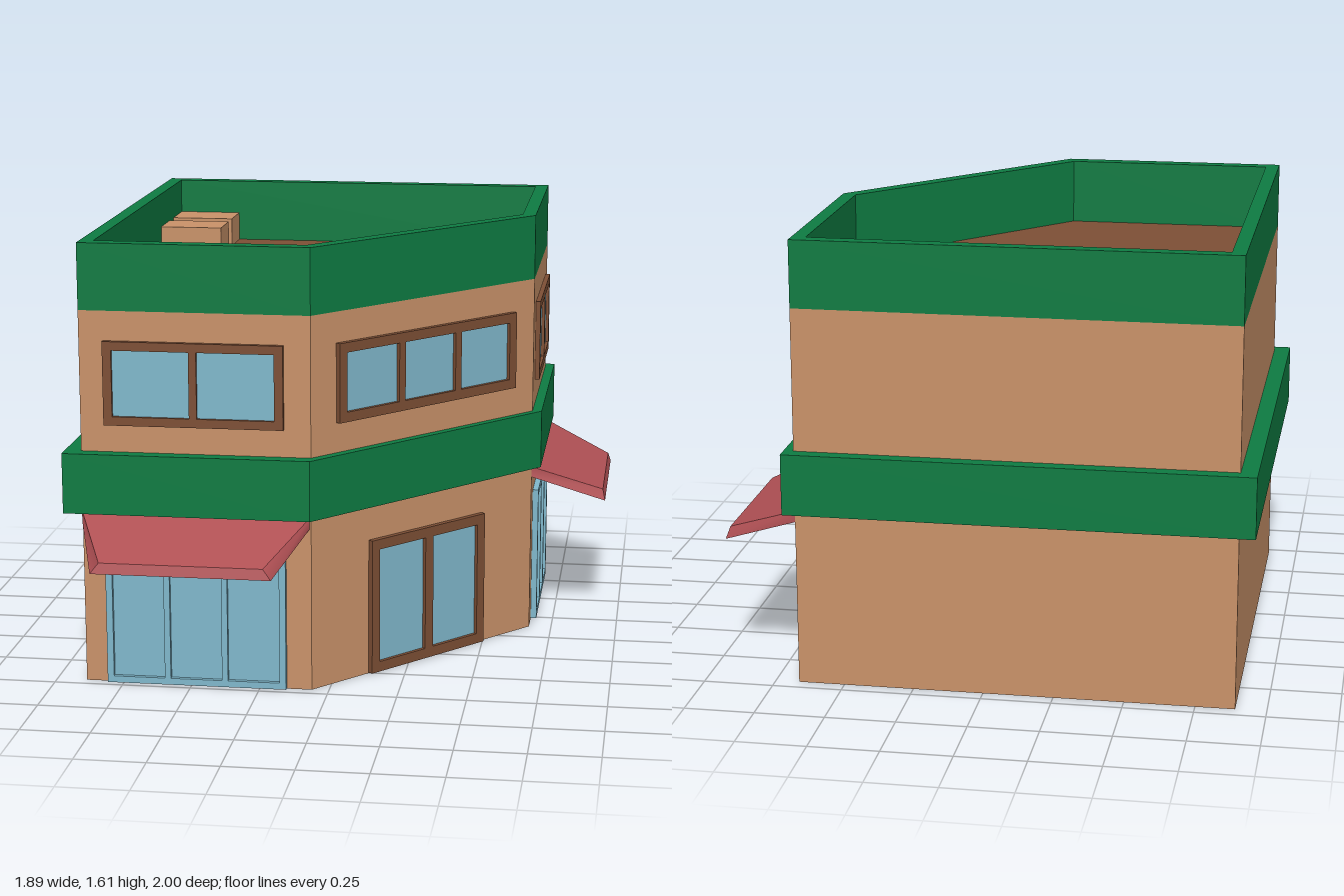
import * as THREE from 'three';

const mat = (name, color) => {
  const m = new THREE.MeshStandardMaterial({ color });
  m.name = name;
  return m;
};

export function createModel() {
  const root = new THREE.Group();
  root.name = 'cornerShop';
  const wall = mat('wall tan', 0xc99269);
  const brown = mat('roof and frame brown', 0x7d4f35);
  const green = mat('trim green', 0x0e7b42);
  const glass = mat('glass blue', 0x80b8cc);
  const red = mat('awning red', 0xb05054);

  const add = (parent, name, geo, material) => {
    const m = new THREE.Mesh(geo, material);
    m.name = name;
    parent.add(m);
    return m;
  };

  // Five-sided plans as [x, z], with the front right corner cut off
  const plan = (x0, x1, z0, z1, cutX, cutZ) =>
    [[x0, z1], [cutX, z1], [x1, cutZ], [x1, z0], [x0, z0]].map(([x, z]) => new THREE.Vector2(x, -z));
  const body = plan(-0.89, 0.665, -0.95, 0.71, -0.062, -0.13);
  const bandPlan = plan(-0.95, 0.70, -1, 0.76, -0.06, -0.13);
  const inner = plan(-0.84, 0.615, -0.90, 0.655, -0.083, -0.15);

  const slab = (name, outline, hole, y0, y1, material) => {
    const s = new THREE.Shape(outline);
    if (hole) s.holes.push(new THREE.Path(hole));
    const g = new THREE.ExtrudeGeometry(s, { depth: y1 - y0, bevelEnabled: false });
    g.rotateX(-Math.PI / 2).translate(0, y0, 0);
    return add(root, name, g, material);
  };
  slab('walls', body, null, 0, 1.37, [brown, wall]); // caps are the roof and floor
  slab('floorBand', bandPlan, body, 0.64, 0.86, green);
  slab('parapet', body, inner, 1.37, 1.61, green);

  // Rooftop units
  for (const z of [-0.815, -0.575]) {
    add(root, 'roofUnit', new THREE.BoxGeometry(0.24, 0.11, 0.17), wall).position.set(-0.72, 1.425, z);
  }

  // Framed glazing, facing local +z with its back on z = 0
  const rect = (C, x0, y0, x1, y1) =>
    new C([[x0, y0], [x1, y0], [x1, y1], [x0, y1]].map(p => new THREE.Vector2(...p)));
  const glazing = (name, { w, y0, y1, panes, border, bar, depth, frame }) => {
    const g = new THREE.Group();
    g.name = name;
    const shape = rect(THREE.Shape, -w / 2, y0, w / 2, y1);
    const low = y0 + border, high = y1 - border;
    const pw = (w - 2 * border - (panes - 1) * bar) / panes;
    for (let i = 0; i < panes; i++) {
      const x = -w / 2 + border + i * (pw + bar);
      shape.holes.push(rect(THREE.Path, x, low, x + pw, high));
      add(g, 'pane', new THREE.BoxGeometry(pw, high - low, 0.005), glass)
        .position.set(x + pw / 2, (low + high) / 2, 0.0035);
    }
    add(g, 'frame', new THREE.ExtrudeGeometry(shape, { depth, bevelEnabled: false }), frame);
    root.add(g);
    return g;
  };

  // Sloped awning: a box with its outer edge lowered and narrowed
  const awning = (name, width, reach) => {
    const geo = new THREE.BoxGeometry(1, 1, 1);
    const p = geo.attributes.position;
    for (let i = 0; i < p.count; i++) {
      const top = p.getY(i) > 0, out = p.getZ(i) > 0;
      const half = out ? (top ? 0.29 : 0.32) : width / 2;
      p.setXYZ(i, Math.sign(p.getX(i)) * half,
        out ? (top ? 0.53 : 0.492) : (top ? 0.64 : 0.60),
        out ? (top ? reach - 0.01 : reach) : 0);
    }
    geo.computeVertexNormals();
    return add(root, name, geo, red);
  };

  const place = (o, x, z, turn) => {
    o.position.set(x, 0, z);
    o.rotation.y = turn;
  };

  // Front and right walls share the same fittings
  const sides = [
    { n: 'front', x: -0.48, z: 0.71, turn: 0, w: 0.645, aw: 0.825, reach: 0.29 },
    { n: 'side', x: 0.665, z: -0.54, turn: Math.PI / 2, w: 0.61, aw: 0.82, reach: 0.28 },
  ];
  for (const s of sides) {
    const upper = glazing(s.n + 'UpperWindow', {
      w: s.w, y0: 0.96, y1: 1.263, panes: 2, border: 0.032, bar: 0.028, depth: 0.018, frame: brown });
    const shop = glazing(s.n + 'ShopWindow', {
      w: s.w + 0.01, y0: 0.003, y1: 0.523, panes: 3, border: 0.024, bar: 0.022, depth: 0.022, frame: glass });
    for (const o of [upper, shop]) place(o, s.x, s.z, s.turn);
    place(awning(s.n + 'Awning', s.aw, s.reach), s.x, s.z, s.turn);
  }

  // Diagonal corner wall
  const turn = Math.atan2(0.84, 0.727);
  place(glazing('cornerUpperWindow', {
    w: 0.88, y0: 0.97, y1: 1.258, panes: 3, border: 0.036, bar: 0.03, depth: 0.02, frame: brown }), 0.304, 0.287, turn);
  place(glazing('cornerDoor', {
    w: 0.57, y0: 0.003, y1: 0.508, panes: 2, border: 0.038, bar: 0.04, depth: 0.02, frame: brown }), 0.304, 0.287, turn);

  return root;
}
